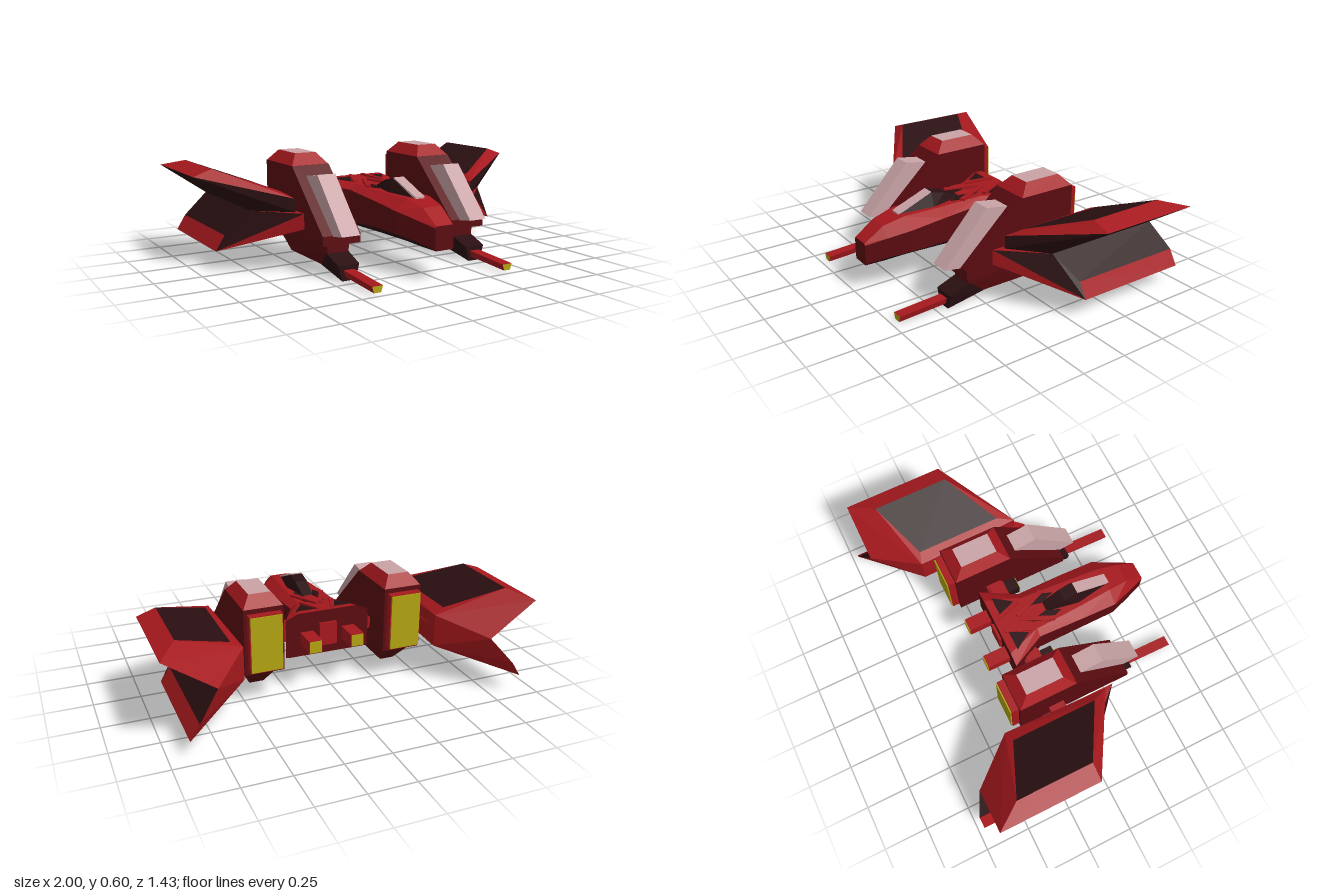
import * as THREE from 'three';
import { ConvexGeometry } from 'three/addons/geometries/ConvexGeometry.js';

const mat = (color) => new THREE.MeshStandardMaterial({ color, flatShading: true, side: THREE.DoubleSide });
const MATS = {
  red: mat(0xa5181d), maroon: mat(0x5a0b10), dark: mat(0x2a0f11),
  pale: mat(0xc9a3a6), yellow: mat(0xb3a312),
};

// Convex solid from points; pick(normal, centre) gives the colour of each face (null drops it).
// s mirrors the points, while pick always sees the +x side.
function hull(name, points, pick, s = 1) {
  const pos = new ConvexGeometry(points.map(([x, y, z]) => new THREE.Vector3(x * s, y, z))).getAttribute('position');
  const sets = {};
  const tri = new THREE.Triangle(), n = new THREE.Vector3(), c = new THREE.Vector3();
  for (let i = 0; i < pos.count; i += 3) {
    tri.setFromAttributeAndIndices(pos, i, i + 1, i + 2);
    tri.getNormal(n); tri.getMidpoint(c);
    n.x *= s; c.x *= s;
    const key = typeof pick === 'string' ? pick : pick(n, c);
    if (!key) continue;
    sets[key] ??= [];
    for (const v of [tri.a, tri.b, tri.c]) sets[key].push(v.x, v.y, v.z);
  }
  const group = new THREE.Group();
  group.name = name;
  for (const key in sets) {
    const g = new THREE.BufferGeometry();
    g.setAttribute('position', new THREE.Float32BufferAttribute(sets[key], 3));
    g.computeVertexNormals();
    const mesh = new THREE.Mesh(g, MATS[key]);
    mesh.name = `${name} ${key}`;
    group.add(mesh);
  }
  return group;
}

// Solid symmetric about x = cx from a side profile of [z, y, halfWidth]
const sided = (cx, profile) => profile.flatMap(([z, y, w]) => [[cx - w, y, z], [cx + w, y, z]]);

// Box given by its limits
function box(name, color, [x0, x1], [y0, y1], [z0, z1], s = 1) {
  const mesh = new THREE.Mesh(new THREE.BoxGeometry(x1 - x0, y1 - y0, z1 - z0), MATS[color]);
  mesh.position.set(s * (x0 + x1) / 2, (y0 + y1) / 2, (z0 + z1) / 2);
  mesh.name = name;
  return mesh;
}

function fuselage() {
  const g = new THREE.Group();
  g.name = 'fuselage';
  // z, [half width, y] at the bottom, lower side, upper side and top
  const rings = [
    [0.70, [0.05, 0.165], [0.055, 0.18], [0.055, 0.28], [0.05, 0.29]],
    [0.59, [0.06, 0.168], [0.10, 0.20], [0.10, 0.31], [0.055, 0.365]],
    [0.47, [0.07, 0.175], [0.145, 0.22], [0.145, 0.34], [0.07, 0.395]],
    [0.27, [0.09, 0.18], [0.145, 0.22], [0.145, 0.36], [0.085, 0.40]],
    [0.0, [0.11, 0.18], [0.14, 0.20], [0.14, 0.38], [0.10, 0.41]],
    [-0.195, [0.22, 0.18], [0.24, 0.185], [0.24, 0.40], [0.17, 0.43]],
  ].map(([z, ...pts]) => sided(0, pts.map(([w, y]) => [z, y, w])));
  for (let i = 0; i < rings.length - 1; i++) {
    g.add(hull('hullSection', [...rings[i], ...rings[i + 1]], (n, c) => {
      if (Math.abs(n.z) > 0.99 && c.z > -0.19 && c.z < 0.69) return null;
      return n.y > 0.3 ? 'red' : n.y < -0.6 ? 'dark' : 'maroon';
    }));
  }

  // Cockpit with sloping front window
  g.add(hull('canopy', sided(0, [
    [0.48, 0.39, 0.03], [0.28, 0.39, 0.065], [0.28, 0.472, 0.035], [0.20, 0.455, 0.035], [0.08, 0.40, 0.03],
  ]), 'dark'));
  g.add(hull('windscreen', sided(0, [
    [0.485, 0.385, 0.028], [0.485, 0.40, 0.028], [0.28, 0.40, 0.045], [0.28, 0.477, 0.032],
  ]), 'pale'));

  // Rear deck: dark inset panels between raised ribs
  const deckY = (z) => 0.41 - z * (z < 0 ? 0.1 : 0.037);
  const slab = (name, color, pts, lift, s) => g.add(hull(name,
    pts.flatMap(([x, z]) => [[x, deckY(z) - 0.03, z], [x, deckY(z) + lift, z]]), color, s));
  for (const s of [1, -1]) {
    slab('deckPanel', 'dark', [[0.055, -0.15], [0.165, -0.15], [0.10, -0.05]], 0.004, s);
    slab('deckPanel', 'dark', [[0.05, -0.01], [0.025, 0.09], [0.055, 0.17], [0.085, 0.09]], 0.004, s);
    slab('deckRib', 'red', [[0.0, -0.06], [0.02, -0.07], [0.10, 0.11], [0.08, 0.13]], 0.012, s);
    slab('deckRib', 'red', [[0.03, -0.17], [0.05, -0.17], [0.10, -0.03], [0.08, -0.02]], 0.012, s);
  }
  g.add(box('rearPlate', 'red', [-0.05, 0.05], [0.23, 0.36], [-0.21, -0.19]));
  return g;
}

function sideParts(s) {
  const g = new THREE.Group();
  g.name = s > 0 ? 'leftSide' : 'rightSide';
  const px = 0.395;
  const add = (name, pts, pick) => g.add(hull(name, pts, pick, s));
  const addBox = (name, color, x, y, z) => g.add(box(name, color, x, y, z, s));

  // Small rear thruster, strut and lamp beside the fuselage
  addBox('thruster', 'red', [0.083, 0.157], [0.25, 0.32], [-0.325, -0.19]);
  addBox('thrusterGlow', 'yellow', [0.086, 0.154], [0.253, 0.317], [-0.33, -0.32]);
  addBox('strut', 'red', [0.13, 0.57], [0.25, 0.315], [-0.13, -0.04]);
  addBox('lampCase', 'red', [0.18, 0.27], [0.243, 0.335], [-0.12, -0.035]);
  addBox('lampBody', 'dark', [0.195, 0.265], [0.255, 0.325], [-0.04, 0.036]);
  addBox('lampGlow', 'yellow', [0.198, 0.262], [0.26, 0.32], [0.03, 0.04]);

  // Engine pod with bevelled cap and front plate
  add('pod', sided(px, [[0.03, 0.54, 0.108], [0.37, 0.225, 0.108], [0.37, 0.175, 0.108],
    [-0.30, 0.175, 0.108], [-0.30, 0.54, 0.108]]), 'maroon');
  add('podCap', sided(px, [[0.03, 0.538, 0.108], [-0.30, 0.538, 0.108], [-0.03, 0.60, 0.06], [-0.24, 0.60, 0.06]]),
    (n) => (n.y > 0.95 ? 'pale' : 'red'));
  add('podPlate', sided(px, [[0.465, 0.235, 0.052], [0.21, 0.512, 0.052], [0.07, 0.49, 0.052],
    [0.33, 0.215, 0.052]]), 'pale');
  addBox('exhaustRim', 'red', [px - 0.09, px + 0.09], [0.20, 0.515], [-0.34, -0.29]);
  addBox('exhaustGlow', 'yellow', [px - 0.085, px + 0.085], [0.205, 0.51], [-0.347, -0.335]);

  // Keel and gun under the pod
  add('keel', sided(px, [[0.33, 0.18, 0.065], [0.33, 0.125, 0.06], [0.22, 0.045, 0.04],
    [-0.14, 0.045, 0.04], [-0.29, 0.18, 0.065]]), 'maroon');
  add('gunHousing', sided(px, [[0.44, 0.085, 0.06], [0.32, 0.128, 0.062], [0.22, 0.045, 0.042],
    [0.44, 0.005, 0.038]]), 'dark');
  add('barrel', sided(px, [[0.715, 0.045, 0.03], [0.715, 0.012, 0.02], [0.43, 0.062, 0.03], [0.43, 0.027, 0.02]]),
    (n) => (n.z > 0.8 ? 'yellow' : 'red'));

  // Upper wing blade with dark top panel
  add('upperWing', [
    [1, 0.505, -0.09], [1, 0.505, -0.655], [0.56, 0.395, 0.18], [0.54, 0.395, -0.41],
    [0.74, 0.325, 0.02], [0.74, 0.325, -0.655], [0.56, 0.325, 0.18], [0.54, 0.325, -0.41],
    [0.90, 0.54, -0.09], [0.90, 0.54, -0.515], [0.60, 0.425, 0.09], [0.60, 0.425, -0.39],
  ], (n, c) => {
    const panel = n.y > 0.85 && n.x < -0.2 && Math.abs(n.z) < 0.1 && c.x > 0.65;
    const outside = n.y < 0.3 && (n.z > 0.3 || n.x > 0.3);
    return panel || outside || n.y < -0.5 ? 'dark' : 'red';
  });

  // Lower wing blade with red leading edge and tip
  add('lowerWing', [
    [0.90, 0.11, -0.07], [0.90, 0.11, -0.715], [0.85, 0.19, -0.07], [0.85, 0.19, -0.715],
    [0.74, 0.325, 0.02], [0.74, 0.325, -0.655], [0.54, 0.325, 0.24], [0.54, 0.245, 0.24],
    [0.54, 0.325, -0.41], [0.54, 0.215, -0.41],
  ], (n, c) => {
    if (n.y < -0.5) return 'dark';
    return n.x > 0.4 && c.y > 0.19 && n.y > 0.1 ? 'dark' : 'red';
  });
  return g;
}

export function createModel() {
  const model = new THREE.Group();
  model.name = 'spacecraft';
  model.add(fuselage(), sideParts(1), sideParts(-1));
  return model;
}
